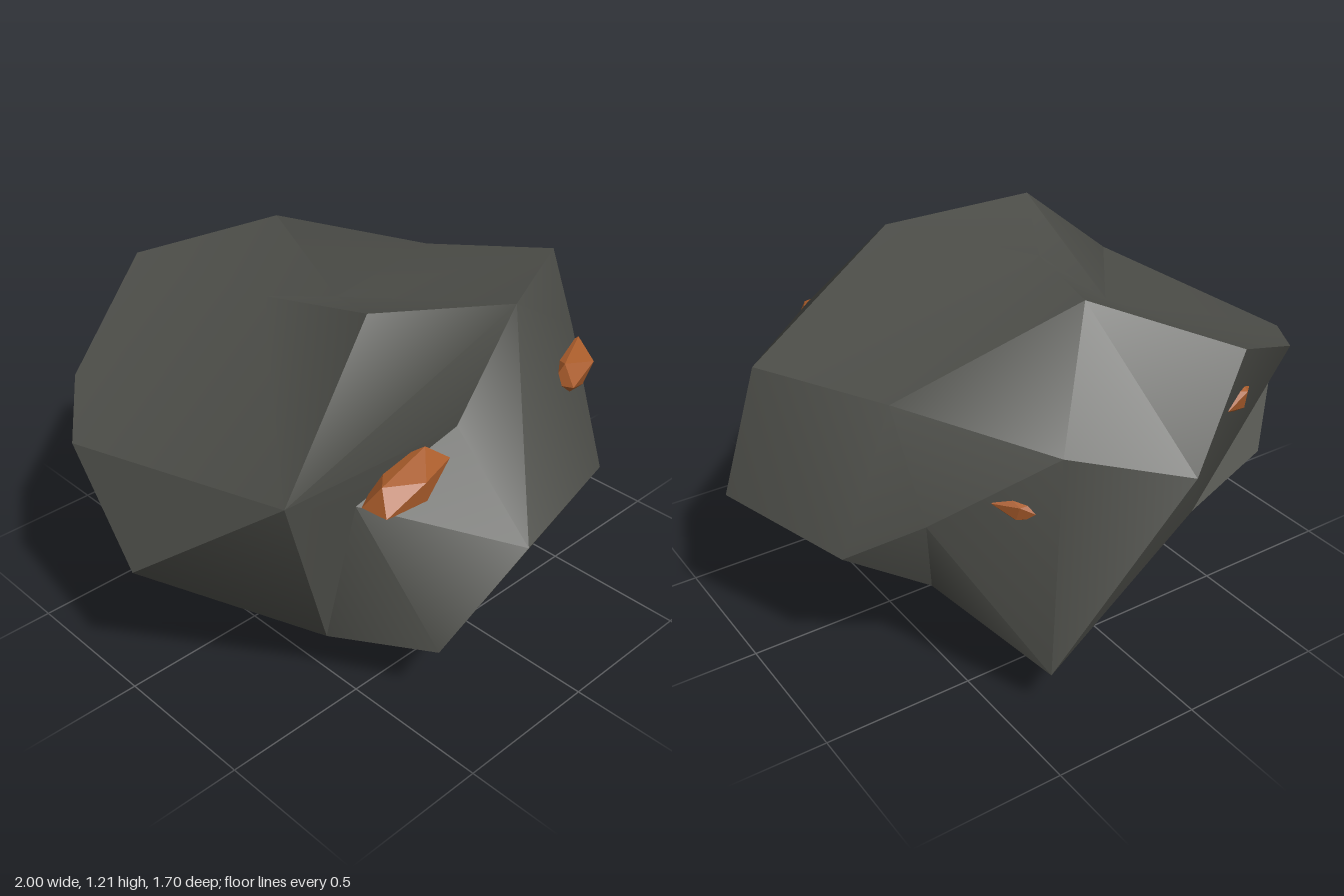
import * as THREE from 'three';
import { ConvexGeometry } from 'three/addons/geometries/ConvexGeometry.js';
import { toCreasedNormals } from 'three/addons/utils/BufferGeometryUtils.js';

const rockMat = new THREE.MeshStandardMaterial({ color: 0x4c4d48 });
rockMat.name = 'dark rock';
const oreMat = new THREE.MeshStandardMaterial({ color: 0xa95c2b, flatShading: true });
oreMat.name = 'copper ore';

// Corners of the boulder
const corners = {
  // crown
  peak: [-0.30, 1.21, 0.34], brow: [0.17, 1.14, 0.51], crest: [0.03, 1.18, -0.44],
  rearTop: [-0.33, 1.05, -0.76], knob: [-0.15, 1.11, 0.05], dip: [-0.22, 1.04, -0.22],
  saddle: [0.62, 0.94, -0.29], leftTop: [0.87, 0.97, 0.10], step: [0.49, 0.94, 0.49],
  rightTop: [-0.78, 0.84, 0.51], rearRight: [-0.77, 0.84, -0.52], rightBack: [-0.95, 0.77, -0.28],
  // girdle
  rightTip: [-1.00, 0.49, 0.06], pocket: [-0.49, 0.70, 0.49], ledge: [-0.08, 0.81, 0.51],
  nose: [-0.12, 0.55, 0.85], cheek: [0.41, 0.53, 0.71], leftTip: [1.00, 0.56, 0.10],
  leftBack: [0.82, 0.49, -0.32], notchTop: [0.62, 0.62, -0.48], notch: [0.55, 0.32, -0.38],
  rearLeft: [0.32, 0.88, -0.74], tail: [-0.09, 0.73, -0.85], rearLow: [-0.69, 0.45, -0.50],
  rearMid: [-0.33, 0.38, -0.58],
  // underside
  rightLow: [-0.92, 0.40, -0.02], heel: [-0.55, 0.20, 0.42], chin: [-0.38, 0.23, 0.74],
  jaw: [0.71, 0.25, 0.43], keel: [0.31, 0.12, 0.25], keelBack: [0.00, 0.11, -0.12],
  hollowBack: [0.15, 0.22, -0.25], hollow: [-0.10, 0.20, 0.20], foot: [-0.42, 0.00, -0.02],
  spur: [0.37, 0.15, -0.77],
};

// Ridges and valleys that must run straight from corner to corner
const folds = [
  // overhanging brow and the pocket below it
  'rightTop ledge', 'rightTop brow', 'brow nose', 'rightTop heel', 'pocket heel',
  // crown
  'step saddle', 'knob step', 'knob leftTop', 'knob saddle', 'rightTop dip', 'peak dip',
  // back
  'crest tail', 'rearMid rightBack',
  // underside
  'nose jaw', 'chin jaw', 'heel hollow',
  'hollowBack rearMid', 'keelBack rearLow', 'hollowBack rearLow',
];

// Turn the edge between two neighbouring triangles so that it joins a and b
function fold(tris, a, b) {
  if (tris.some(f => f.includes(a) && f.includes(b))) return;
  for (const t of tris.filter(f => f.includes(a))) {
    const i = t.indexOf(a), u = t[(i + 1) % 3], v = t[(i + 2) % 3];
    const o = tris.find(f => f.includes(b) && f.includes(u) && f.includes(v));
    if (o) {
      t.splice(0, 3, a, u, b);
      o.splice(0, 3, a, b, v);
      return;
    }
  }
}

// Skin the corners by their direction from the core, turn the folds,
// then build the skin on the true corners so that hollows are kept
function makeBoulder() {
  const core = new THREE.Vector3(0, 0.6, 0);
  const names = Object.keys(corners);
  const rounded = names.map(n => {
    const d = new THREE.Vector3(...corners[n]).sub(core);
    return d.multiplyScalar(Math.pow(d.length(), 0.15 - 1));
  });
  const hull = new ConvexGeometry(rounded).attributes.position;
  const v = new THREE.Vector3();
  const tris = [];
  for (let i = 0; i < hull.count; i++) {
    v.fromBufferAttribute(hull, i);
    const k = rounded.findIndex(r => r.distanceToSquared(v) < 1e-8);
    if (i % 3 === 0) tris.push([]);
    tris[tris.length - 1].push(names[k]);
  }
  for (const f of folds) fold(tris, ...f.split(' '));

  const geo = new THREE.BufferGeometry();
  const points = tris.flat().flatMap(n => corners[n]);
  geo.setAttribute('position', new THREE.Float32BufferAttribute(points, 3));
  return toCreasedNormals(geo, 0.72);
}

// Ore nugget: a faceted lump that narrows downwards
function makeNugget(taper) {
  const geo = new THREE.IcosahedronGeometry(1, 0);
  const pos = geo.attributes.position;
  for (let i = 0; i < pos.count; i++) {
    const k = 1 + taper * pos.getY(i);
    pos.setXYZ(i, pos.getX(i) * k, pos.getY(i), pos.getZ(i) * k);
  }
  geo.computeVertexNormals();
  return geo;
}

export function createModel() {
  const group = new THREE.Group();
  group.name = 'oreBoulder';

  const boulder = new THREE.Mesh(makeBoulder(), rockMat);
  boulder.name = 'boulder';
  group.add(boulder);

  // name, position, half sizes, turn (y, z), taper
  const nuggets = [
    ['frontRightNugget', [-0.33, 0.735, 0.54], [0.18, 0.075, 0.09], [0.1, 0.22], 0.1],
    ['frontLeftNugget', [0.41, 0.835, 0.555], [0.135, 0.085, 0.07], [0.45, 0], 0.45],
    ['backLeftNugget', [0.40, 0.70, -0.64], [0.095, 0.045, 0.05], [-0.7, 0.25], 0.2],
    ['backRightNugget', [-0.41, 0.81, -0.62], [0.09, 0.065, 0.07], [0.4, -0.2], 0.2],
  ];
  for (const [name, at, size, turn, taper] of nuggets) {
    const nugget = new THREE.Mesh(makeNugget(taper), oreMat);
    nugget.name = name;
    nugget.position.set(...at);
    nugget.scale.set(...size);
    nugget.rotation.set(0, turn[0], turn[1]);
    group.add(nugget);
  }
  return group;
}
